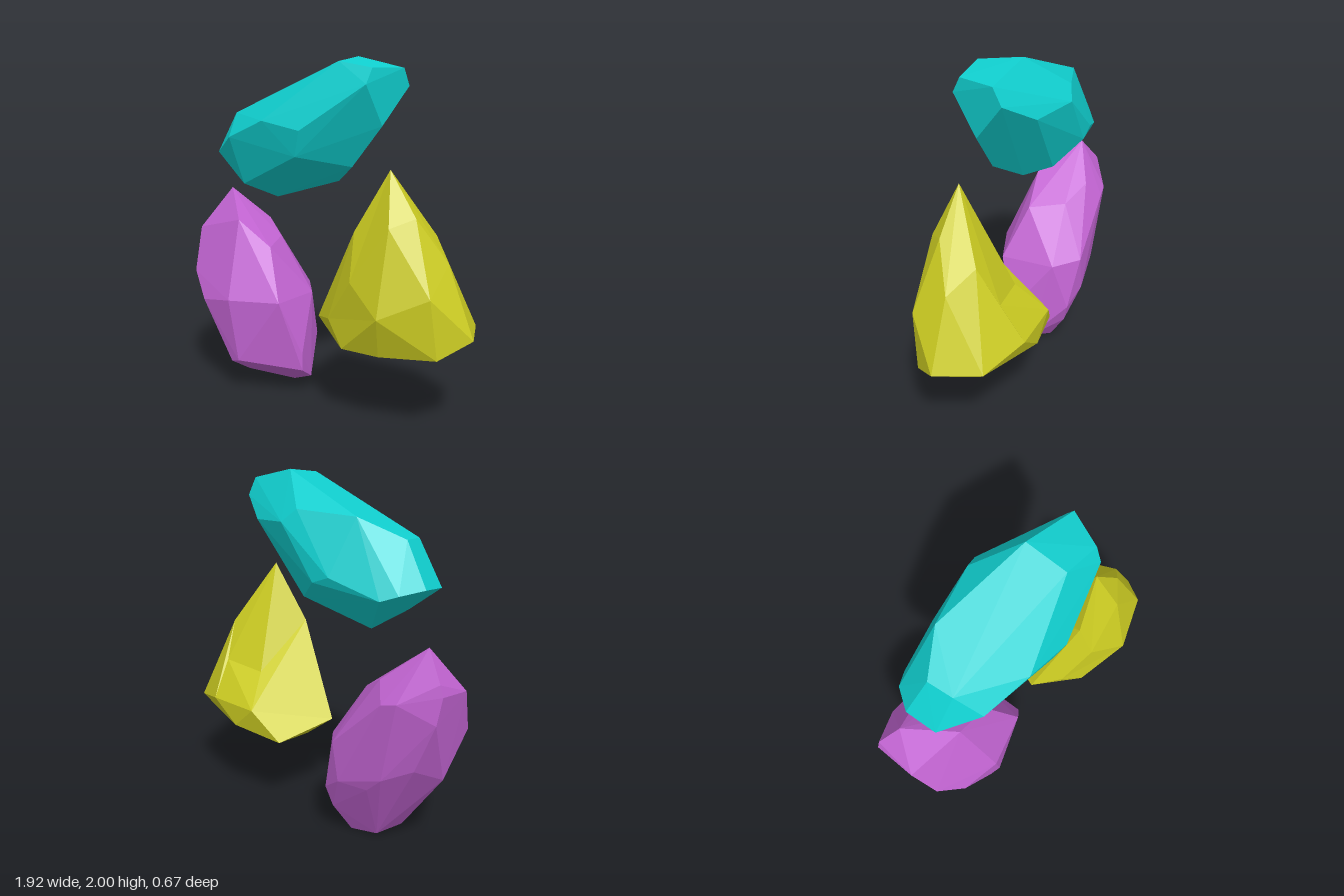
import * as THREE from 'three';
import { ConvexGeometry } from 'three/addons/geometries/ConvexGeometry.js';

const material = (name, color) => {
  const m = new THREE.MeshStandardMaterial({ color });
  m.name = name;
  return m;
};

// Convex cut stone from its corner points
function cutStone(name, corners, mat) {
  const mesh = new THREE.Mesh(new ConvexGeometry(corners.map(c => new THREE.Vector3(...c))), mat);
  mesh.name = name;
  return mesh;
}

// True when corner d lies outside the face a, b, c
function isOutside(a, b, c, d) {
  const [p, q, r, s] = [a, b, c, d].map(v => new THREE.Vector3(...v));
  return q.sub(p).cross(r.sub(p)).dot(s.sub(p)) > 0;
}

// Faceted stone from closed rings (bottom to top) with a point at each end
function ringStone(name, base, rings, apex, mat) {
  const pos = [];
  const tri = (...corners) => corners.forEach(c => pos.push(...c));
  // Split each four-sided face along the diagonal that bulges outward
  const quad = (a, b, c, d) => {
    if (isOutside(a, b, c, d)) { tri(a, b, d); tri(b, c, d); }
    else { tri(a, b, c); tri(a, c, d); }
  };
  const n = rings[0].length;
  const top = rings[rings.length - 1];
  for (let i = 0; i < n; i++) {
    const j = (i + 1) % n;
    tri(base, rings[0][j], rings[0][i]);
    for (let k = 0; k < rings.length - 1; k++) {
      quad(rings[k][i], rings[k][j], rings[k + 1][j], rings[k + 1][i]);
    }
    tri(top[i], top[j], apex);
  }
  const geo = new THREE.BufferGeometry();
  geo.setAttribute('position', new THREE.Float32BufferAttribute(pos, 3));
  geo.computeVertexNormals();
  const mesh = new THREE.Mesh(geo, mat);
  mesh.name = name;
  return mesh;
}

export function createModel() {
  const group = new THREE.Group();
  group.name = 'gemstones';
  const teal = material('teal', 0x10cfcf);
  const purple = material('purple', 0xc264d2);
  const yellow = material('yellow', 0xcccc22);

  // Long tilted stone on top
  group.add(cutStone('tealGem', [
    [-0.76, 1.46, -0.09], [-0.73, 1.44, 0.09], [-0.61, 1.69, -0.055], [-0.58, 1.68, 0.09],
    [-0.52, 1.545, 0.23], [-0.48, 1.27, 0.15], [-0.37, 1.18, -0.03], [-0.40, 1.80, -0.20],
    [0.14, 2.0, -0.12], [0.17, 1.97, 0.12], [0.38, 1.935, 0.12], [0.45, 1.935, -0.09],
    [0.455, 1.84, -0.14], [0.37, 1.85, 0.165], [0.39, 1.63, 0.03], [0.02, 1.605, 0.28],
    [-0.24, 1.65, 0.275], [-0.03, 1.46, 0.25], [0.20, 1.40, 0.03], [0.04, 1.30, -0.08],
    [-0.08, 1.82, -0.30], [0.27, 1.73, -0.25], [0.0, 1.75, -0.335], [-0.22, 1.46, -0.335],
    [-0.33, 1.50, -0.335], [-0.61, 1.41, -0.27], [-0.69, 1.44, -0.22], [-0.05, 1.34, -0.22],
  ], teal));

  // Leaning stone at the lower side
  group.add(cutStone('purpleGem', [
    [-0.82, 1.19, -0.13], [-0.94, 1.04, -0.20], [-0.96, 0.98, -0.20], [-0.94, 0.945, 0.04],
    [-0.59, 1.03, 0.08], [-0.37, 0.88, 0.05], [-0.60, 1.00, -0.24], [-0.45, 0.91, -0.16],
    [-0.52, 0.575, 0.27], [-0.75, 0.54, 0.235], [-0.89, 0.69, 0.155], [-0.87, 0.45, -0.03],
    [-0.54, 0.18, 0.225], [-0.475, 0.20, 0.24], [-0.22, 0.58, 0.165], [-0.22, 0.58, -0.17],
    [-0.575, 0.06, 0.02], [-0.49, 0.015, -0.10], [-0.33, 0.0, -0.13], [-0.15, 0.08, -0.06],
    [-0.12, 0.16, 0.07], [-0.12, 0.26, 0.07], [-0.25, 0.29, -0.265], [-0.28, 0.17, -0.235],
    [-0.34, 0.60, -0.31], [-0.38, 0.38, -0.31], [-0.55, 0.37, -0.27], [-0.65, 0.46, -0.28],
    [-0.81, 0.54, -0.21], [-0.94, 0.83, -0.22], [-0.76, 0.92, -0.31], [-0.67, 0.90, -0.32],
  ], purple));

  // Pear-shaped stone with a slight waist at the back
  group.add(ringStone('yellowGem', [0.52, 0.40, 0.03], [
    [[0.14, 0.415, 0.0], [0.28, 0.43, 0.25], [0.52, 0.435, 0.26], [0.83, 0.455, 0.19],
      [0.86, 0.475, 0.05], [0.80, 0.48, -0.15], [0.42, 0.49, -0.33], [0.10, 0.45, -0.28]],
    [[0.0, 0.525, 0.07], [0.15, 0.565, 0.19], [0.55, 0.66, 0.335], [0.80, 0.78, 0.22],
      [0.96, 0.545, 0.035], [0.86, 0.55, -0.21], [0.60, 0.62, -0.33], [0.27, 0.62, -0.335]],
    [[0.30, 1.07, 0.16], [0.33, 0.81, 0.25], [0.55, 1.12, 0.22], [0.655, 1.17, 0.12],
      [0.80, 0.93, 0.02], [0.67, 1.05, -0.09], [0.62, 0.83, -0.20], [0.36, 0.80, -0.17]],
  ], [0.48, 1.41, 0.09], yellow));

  return group;
}
